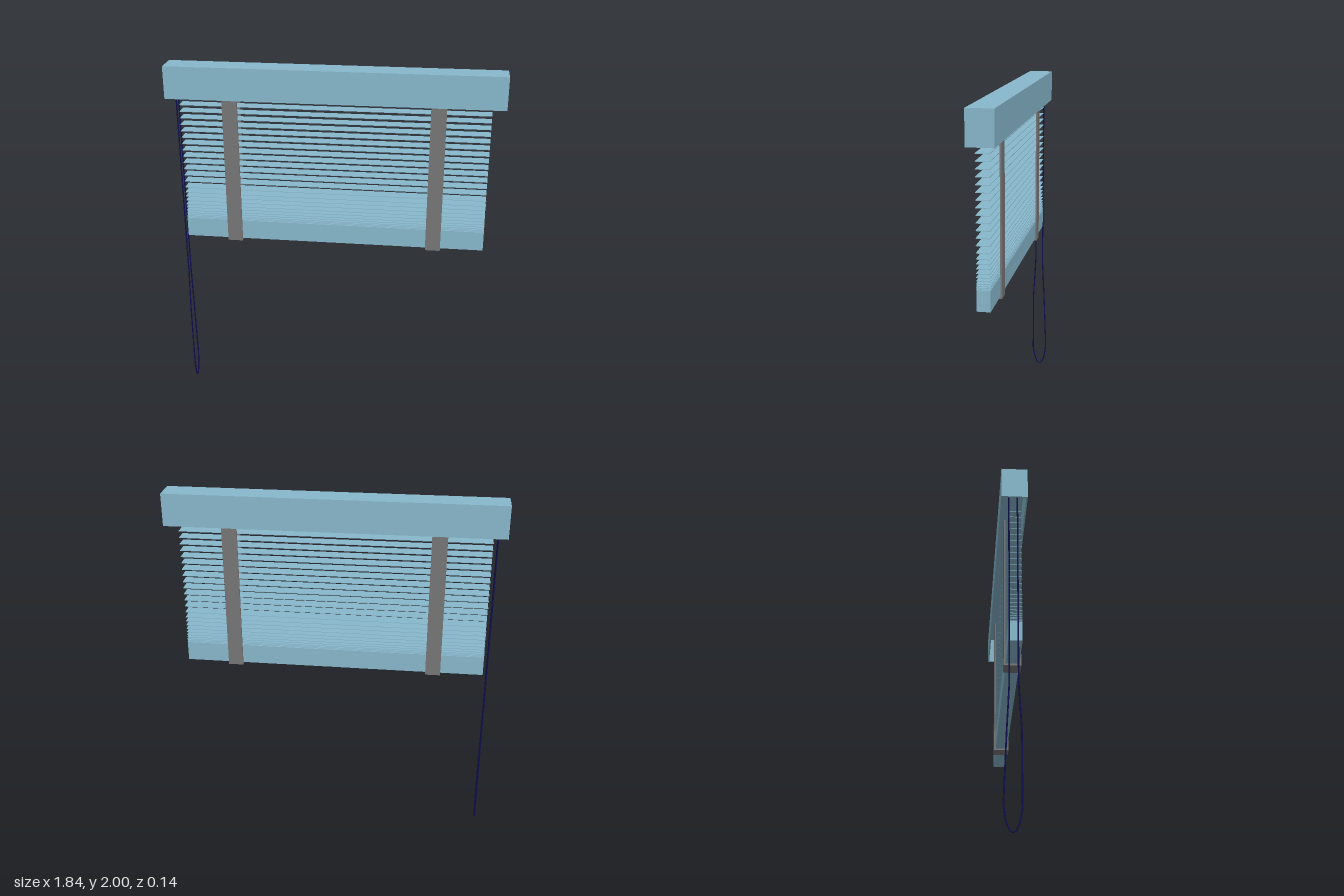
import * as THREE from 'three';

export function createModel() {
  const model = new THREE.Group();
  model.name = 'windowBlind';

  const material = (color) => new THREE.MeshStandardMaterial({ color });
  const blue = material(0x88b8cc);
  const grey = material(0x777777);
  const navy = material(0x101050);

  // Box given by its lower and upper corners
  function box(name, mat, [x0, y0, z0], [x1, y1, z1], parent = model) {
    const mesh = new THREE.Mesh(new THREE.BoxGeometry(x1 - x0, y1 - y0, z1 - z0), mat);
    mesh.position.set((x0 + x1) / 2, (y0 + y1) / 2, (z0 + z1) / 2);
    mesh.name = name;
    parent.add(mesh);
  }

  function group(name) {
    const g = new THREE.Group();
    g.name = name;
    model.add(g);
    return g;
  }

  // Head rail: hollow channel, open underneath
  const W = 0.92, D = 0.07, T = 0.008, Y0 = 1.82;
  const rail = group('headRail');
  box('headRailTop', blue, [-W, 2 - T, -D], [W, 2, D], rail);
  box('headRailFront', blue, [-W, Y0, D - T], [W, 2 - T, D], rail);
  box('headRailBack', blue, [-W, Y0, -D], [W, 2 - T, -D + T], rail);
  box('headRailRightEnd', blue, [-W, Y0, -D + T], [-W + T, 2 - T, D - T], rail);
  box('headRailLeftEnd', blue, [W - T, Y0, -D + T], [W, 2 - T, D - T], rail);

  // Slats: evenly hung above, bunching together towards the bottom rail
  const slats = group('slats');
  const heights = [];
  for (let i = 0; i < 14; i++) heights.push(1.78 - i * 0.0373);
  heights.push(1.265, 1.24, 1.215, 1.192, 1.172, 1.154, 1.14, 1.128, 1.12, 1.113);
  for (const y of heights) {
    box('slat', blue, [-0.848, y - 0.0015, -0.03], [0.848, y + 0.0015, 0.041], slats);
  }

  // Bottom rail
  box('bottomRail', blue, [-0.848, 0.997, -0.03], [0.848, 1.107, 0.041]);

  // Fabric tapes: U-shaped bands looped under the bottom rail
  for (const side of [-1, 1]) {
    const tape = group(side < 0 ? 'rightTape' : 'leftTape');
    const x0 = side * 0.567 - 0.042, x1 = side * 0.567 + 0.042;
    box('tapeFront', grey, [x0, 0.985, 0.042], [x1, 1.9, 0.051], tape);
    box('tapeBack', grey, [x0, 0.985, -0.04], [x1, 1.9, -0.031], tape);
    box('tapeBottom', grey, [x0, 0.985, -0.031], [x1, 0.995, 0.042], tape);
  }

  // Pull cord: long loop made of straight runs, [z, y]
  const loop = [
    [0.018, 1.9], [0.018, 0.75], [0.032, 0.5], [0.032, 0.12], [0.02, 0.055], [0, 0.006],
    [-0.022, 0.006], [-0.045, 0.06], [-0.055, 0.14], [-0.04, 0.5], [-0.027, 0.75], [-0.027, 1.9],
  ].map(([z, y]) => new THREE.Vector3(-0.87, y, z));
  const path = new THREE.CurvePath();
  for (let i = 1; i < loop.length; i++) path.add(new THREE.LineCurve3(loop[i - 1], loop[i]));
  const cord = new THREE.Mesh(new THREE.TubeGeometry(path, 240, 0.004, 6, false), navy);
  cord.name = 'pullCord';
  model.add(cord);

  return model;
}
